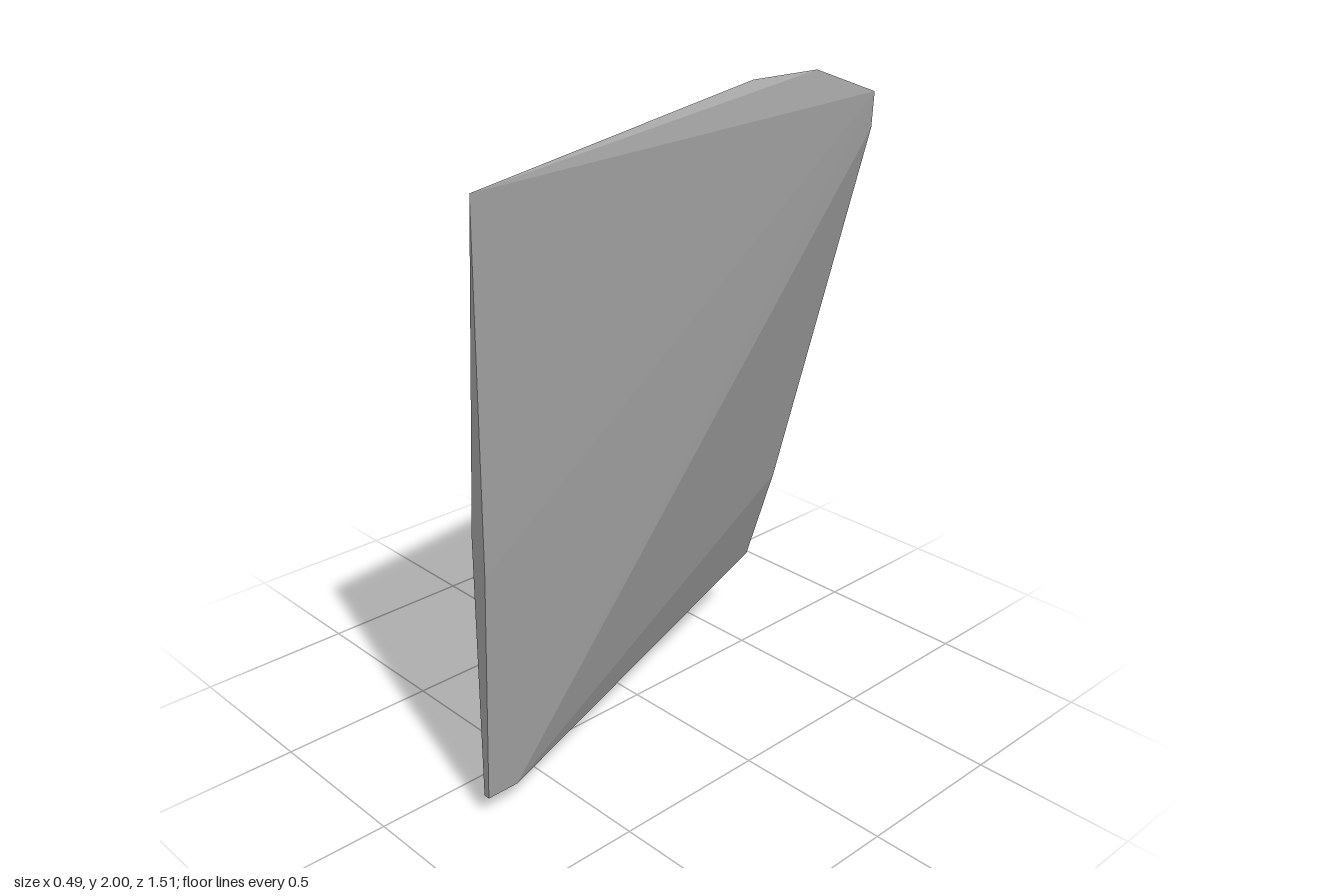
import * as THREE from 'three';
import { ConvexGeometry } from 'three/addons/geometries/ConvexGeometry.js';

// Corner groups of the faceted slab, each corner as [x, y, z]
const corners = {
  frontEdge: [
    [0.21, 1.86, 0.755], [0.206, 0.8, 0.755], [0.18, 0.07, 0.755],
    [0.16, 0.07, 0.755], [0.155, 0.9, 0.755],
    [0.125, 0.65, 0.72], [0.125, 0.07, 0.72], [0.18, 0.07, 0.65],
  ],
  crest: [
    [0.19, 2, -0.27], [0.21, 2, -0.52], [0.24, 1.91, -0.755],
    [0.18, 1.92, -0.68], [0.16, 1.975, -0.35], [0.16, 1.975, -0.28],
  ],
  shoulder: [
    [-0.01, 1.6, -0.2], [-0.015, 1.6, -0.35], [0, 1.6, -0.45],
    [-0.045, 1.45, -0.2], [-0.048, 1.49, -0.35], [-0.01, 1.51, -0.49],
  ],
  backEdge: [
    [0.235, 1.8, -0.755], [0.07, 1.63, -0.755], [0.045, 1.51, -0.755],
    [0.02, 0.61, -0.61], [-0.09, 0.27, -0.61], [-0.215, 0.15, -0.61],
  ],
  foot: [
    [-0.245, 0.07, -0.25], [-0.245, 0.07, -0.19], [-0.24, 0.01, -0.26],
    [-0.235, 0.003, -0.19], [-0.21, 0.01, -0.11], [-0.19, 0, -0.1],
  ],
};

export function createModel() {
  const model = new THREE.Group();
  model.name = 'rockShard';

  const stone = new THREE.MeshStandardMaterial({ color: 0xa0a0a0 });
  stone.name = 'stone grey';

  // Chipped slab: flat facets stretched over all the corners
  const points = Object.values(corners).flat().map((p) => new THREE.Vector3(...p));
  const slab = new THREE.Mesh(new ConvexGeometry(points), stone);
  slab.name = 'slab';
  model.add(slab);

  return model;
}
